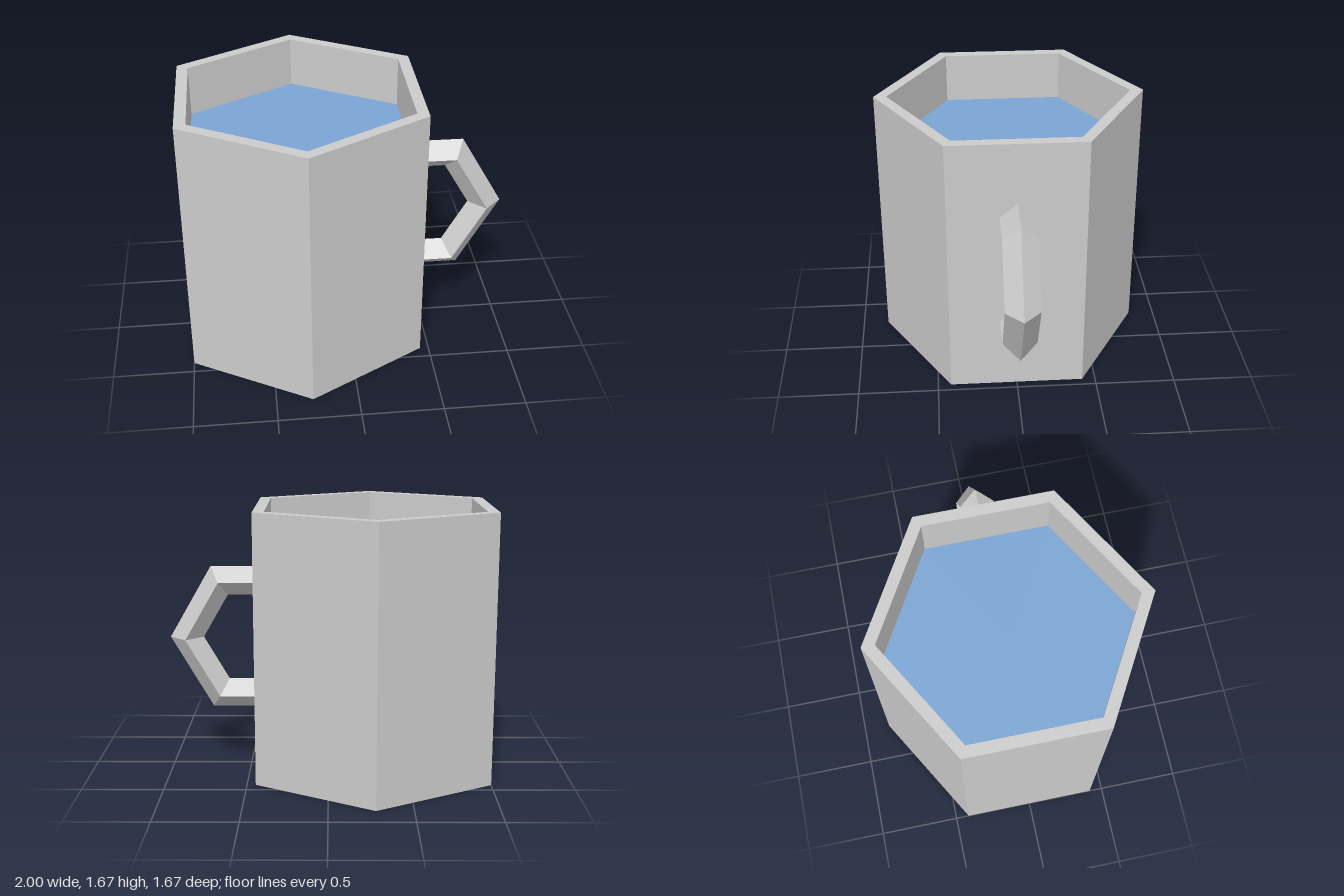
import * as THREE from 'three';

const CENTRE_X = -0.277;  // axis of the mug body
const OUTER = 0.835, INNER = 0.755, HEIGHT = 1.675;
const SIDES = 6;

function part(name, geometry, color = 0xcccccc) {
  const material = new THREE.MeshStandardMaterial({ color, flatShading: true });
  const mesh = new THREE.Mesh(geometry, material);
  mesh.name = name;
  return mesh;
}

export function createModel() {
  const group = new THREE.Group();
  group.name = 'mug';

  // Hexagonal body: closed base, outer wall, rim, inner wall and floor
  const profile = [
    [0, 0], [OUTER, 0], [OUTER, HEIGHT], [INNER, HEIGHT], [INNER, 0.08], [0, 0.08],
  ].map(([r, y]) => new THREE.Vector2(r, y));
  const body = part('body', new THREE.LatheGeometry(profile, SIDES));
  body.position.x = CENTRE_X;
  group.add(body);

  // Liquid surface, its corners meeting the inner wall
  const surface = new THREE.CircleGeometry(INNER, SIDES, Math.PI / 2).rotateX(-Math.PI / 2);
  const liquid = part('liquid', surface, 0x7ba5d3);
  liquid.position.set(CENTRE_X, 1.36, 0);
  group.add(liquid);

  // Handle: four sides of a hexagonal ring with a diamond section
  const ring = new THREE.TorusGeometry(0.42, 0.105, 4, 4, Math.PI * 4 / 3)
    .rotateZ(-Math.PI * 2 / 3)
    .translate(0.475, HEIGHT / 2, 0);
  // Trim the level ends so that they stop inside the wall
  const pos = ring.attributes.position;
  for (let i = 0; i < pos.count; i++) pos.setX(i, Math.max(pos.getX(i), 0.41));
  group.add(part('handle', ring));

  return group;
}
